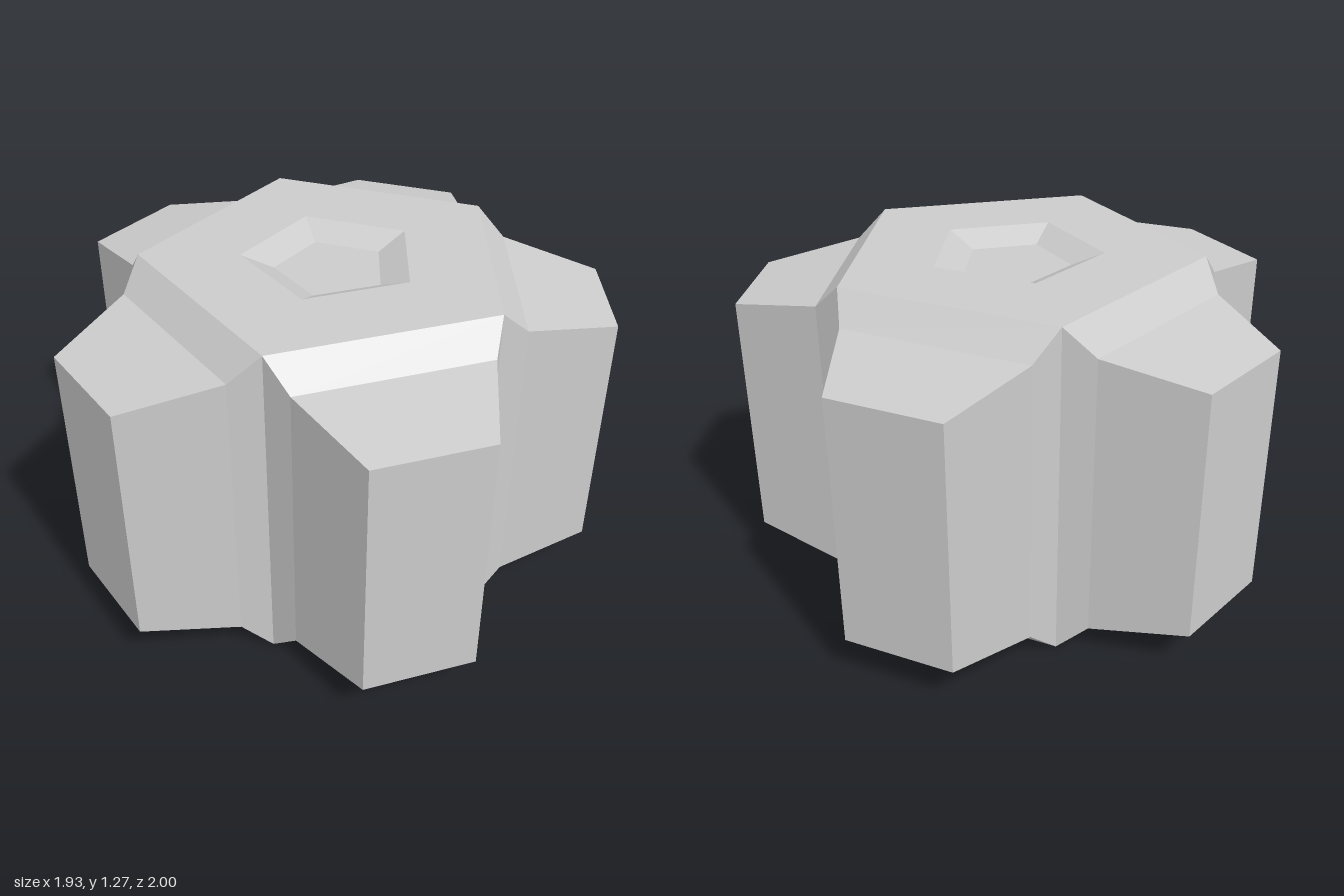
import * as THREE from 'three';

const SIDES = 5;
const HEIGHT = 1.27;
const RADIUS = 0.685;                       // corner radius of the pentagonal core
const TURN = THREE.MathUtils.degToRad(87.3); // heading of the first corner, from +z towards +x
const STEP = (Math.PI * 2) / SIDES;

const material = new THREE.MeshStandardMaterial({ color: 0xcccccc, flatShading: true });

function faceted(geometry) {
  const flat = geometry.index ? geometry.toNonIndexed() : geometry;
  flat.computeVertexNormals();
  return flat;
}

// Pentagonal end face with a shallow sloped recess
function endFace(name, profile) {
  const points = profile.map(([r, y]) => new THREE.Vector2(r, y));
  const mesh = new THREE.Mesh(faceted(new THREE.LatheGeometry(points, SIDES, TURN)), material);
  mesh.name = name;
  return mesh;
}

// Tooth lofted outwards along +z through shrinking rectangles
function toothGeometry() {
  const apothem = RADIUS * Math.cos(STEP / 2);
  const halfSide = RADIUS * Math.sin(STEP / 2);
  // distance from the axis, half width, inset from both ends
  const sections = [
    [apothem, halfSide, 0],
    [0.652, 0.343, 0.1],
    [0.986, 0.206, 0.163],
  ];
  const positions = [];
  const index = [];
  for (const [z, w, inset] of sections) {
    const top = HEIGHT - inset;
    positions.push(-w, inset, z, w, inset, z, w, top, z, -w, top, z);
  }
  for (let s = 0; s < sections.length - 1; s++) {
    for (let j = 0; j < 4; j++) {
      const a = s * 4 + j;
      const b = s * 4 + ((j + 1) % 4);
      index.push(a, b, b + 4, a, b + 4, a + 4);
    }
  }
  const e = (sections.length - 1) * 4;
  index.push(e, e + 1, e + 2, e, e + 2, e + 3);
  const geometry = new THREE.BufferGeometry();
  geometry.setAttribute('position', new THREE.Float32BufferAttribute(positions, 3));
  geometry.setIndex(index);
  return faceted(geometry);
}

export function createModel() {
  const model = new THREE.Group();
  model.name = 'toothedBlock';

  // Top and bottom faces, mirrored
  const recess = [[0, 0.05], [0.207, 0.05], [0.325, 0], [RADIUS, 0]];
  model.add(endFace('bottomFace', recess));
  model.add(endFace('topFace', recess.map(([r, y]) => [r, HEIGHT - y]).reverse()));

  // One tooth on each side of the pentagon
  const geometry = toothGeometry();
  for (let k = 0; k < SIDES; k++) {
    const tooth = new THREE.Mesh(geometry, material);
    tooth.name = `tooth${k + 1}`;
    tooth.rotation.y = TURN + (k + 0.5) * STEP;
    model.add(tooth);
  }

  // Centre the footprint
  for (const part of model.children) part.position.set(0.026, 0, 0.003);
  return model;
}
